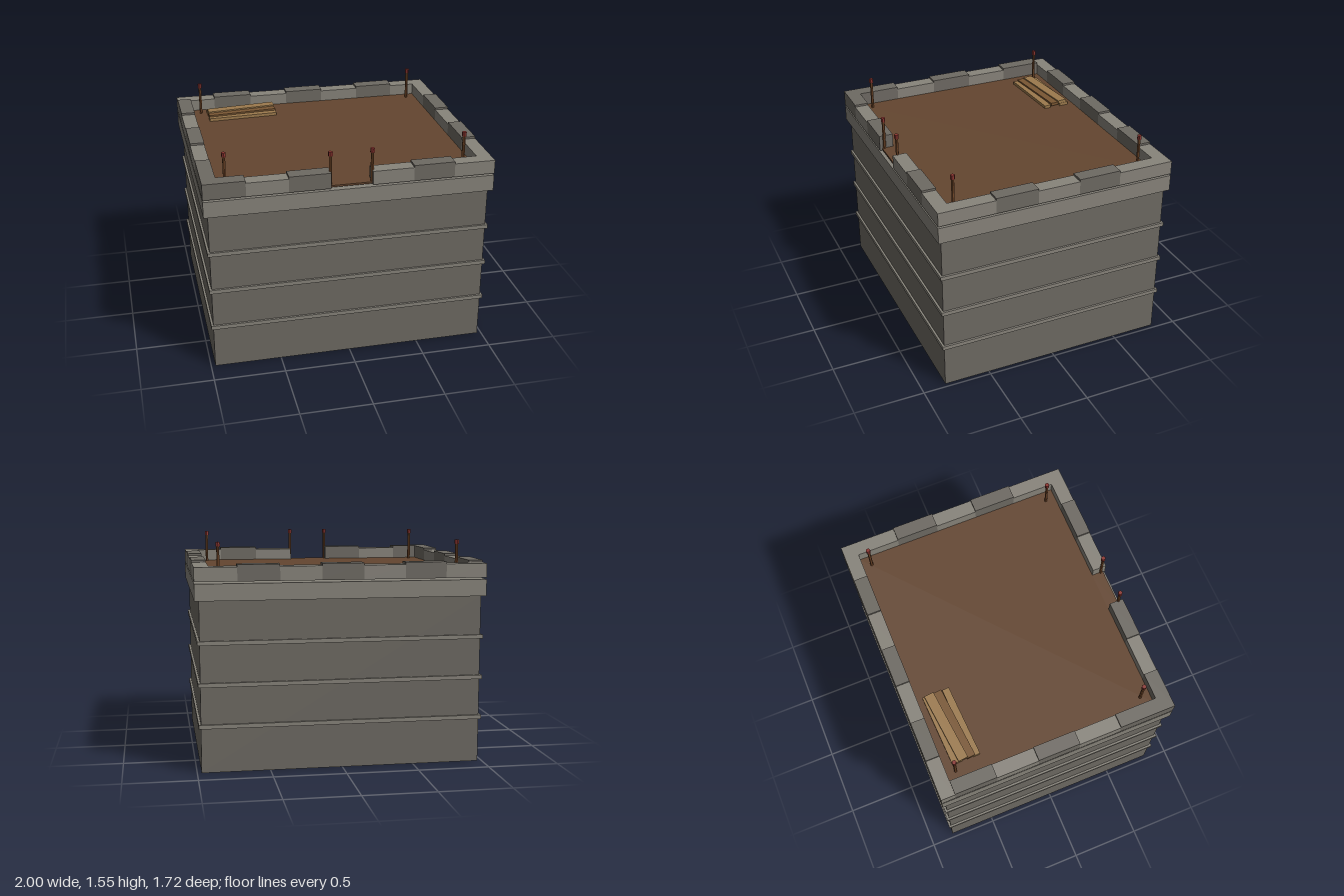
import * as THREE from 'three';

const mat = (color) => new THREE.MeshStandardMaterial({ color, flatShading: true });

export function createModel() {
  const root = new THREE.Group();
  const darkStone = mat(0x6e6a63), lightStone = mat(0x88847b);
  const deckWood = mat(0x644630), postWood = mat(0x74492a), capRed = mat(0x8c3530);
  const plankLight = mat(0x9c7a4d), plankDark = mat(0x7a5733);

  // Box given by its centre in x and z, and its bottom and top heights
  function box(name, material, x, z, w, d, y0, y1, parent = root) {
    const mesh = new THREE.Mesh(new THREE.BoxGeometry(w, y1 - y0, d), material);
    mesh.name = name;
    mesh.position.set(x, (y0 + y1) / 2, z);
    parent.add(mesh);
    return mesh;
  }

  // Tower body, string courses and cornice
  box('towerBody', darkStone, 0, 0, 1.94, 1.66, 0, 1.175);
  for (const y of [0.32, 0.605, 0.89]) box('stringCourse', lightStone, 0, 0, 1.97, 1.69, y - 0.014, y + 0.014);
  box('cornice', lightStone, 0, 0, 2, 1.715, 1.175, 1.29);

  // Wooden deck, with a sill running through the front opening
  const floorTop = 1.318;
  box('deck', deckWood, 0, 0, 1.8, 1.515, 1.305, floorTop);
  box('sill', deckWood, 0, 0.798, 0.286, 0.085, 1.305, floorTop);

  // Parapet of alternating stones; the dark ones stand slightly taller
  const parapet = new THREE.Group();
  parapet.name = 'parapet';
  root.add(parapet);
  const stone = (raised, x, z, w, d) =>
    box(raised ? 'raisedStone' : 'lowStone', raised ? darkStone : lightStone,
      x, z, w, d, 1.303, raised ? 1.415 : 1.4, parapet);
  const step = 2 / 7;
  for (let i = 0; i < 7; i++) {
    const x = (i - 3) * step;
    stone(i % 2 === 1, x, -0.807, step, 0.1);
    if (i !== 3) stone(i < 3 ? i % 2 === 0 : i % 2 === 1, x, 0.807, step, 0.1);
  }
  const sideStep = 1.514 / 5;
  for (let i = 0; i < 5; i++) {
    const z = (i - 2) * sideStep;
    stone(i % 2 === 1, 0.95, z, 0.1, sideStep);
    stone(i % 2 === 0, -0.95, z, 0.1, sideStep);
  }

  // Slim posts with red caps: four in the corners, two beside the opening
  const postGeo = new THREE.CylinderGeometry(0.011, 0.011, 0.215, 6);
  const capGeo = new THREE.CylinderGeometry(0.016, 0.016, 0.03, 6);
  const spots = [[0.83, -0.69], [-0.83, -0.69], [0.83, 0.685], [-0.83, 0.685], [0.143, 0.822], [-0.143, 0.822]];
  for (const [x, z] of spots) {
    const post = new THREE.Group();
    post.name = 'post';
    const shaft = new THREE.Mesh(postGeo, postWood);
    shaft.name = 'postShaft';
    shaft.position.y = 0.1075;
    const cap = new THREE.Mesh(capGeo, capRed);
    cap.name = 'postCap';
    cap.position.y = 0.225;
    post.add(shaft, cap);
    post.position.set(x, floorTop - 0.003, z);
    root.add(post);
  }

  // Loose stack of planks: [z, turn, width, lift, material]
  const planks = [
    [-0.67, 0.04, 0.07, 0, plankLight],
    [-0.53, 0.05, 0.05, 0, plankLight],
    [-0.64, 0.1, 0.07, 0.022, plankLight],
    [-0.58, 0.09, 0.06, 0.012, plankDark],
  ];
  for (const [z, turn, width, lift, material] of planks) {
    const y = floorTop + lift;
    box('plank', material, -0.525, z, 0.52, width, y, y + 0.022).rotation.y = turn;
  }
  return root;
}
